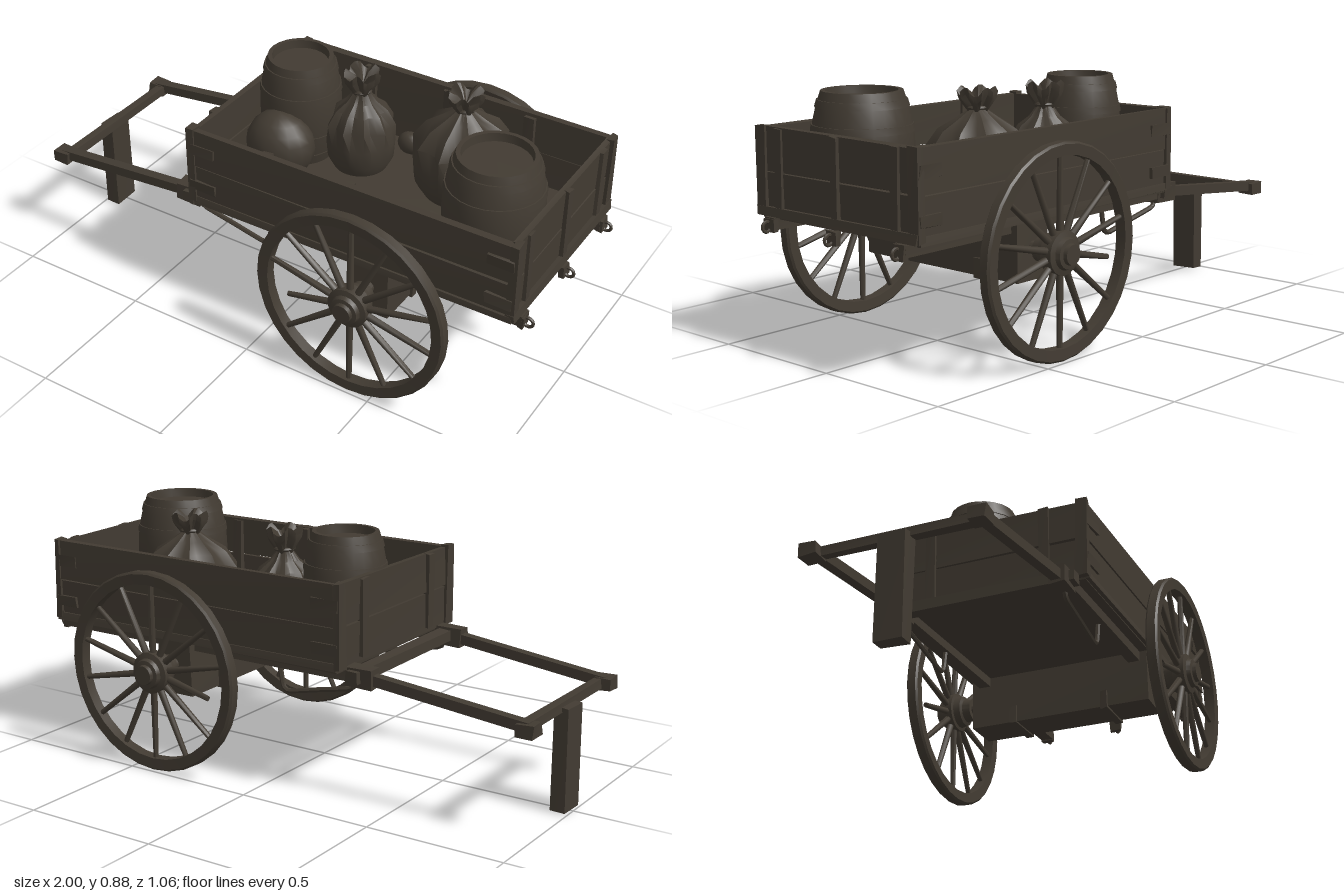
import * as THREE from 'three';
import { toCreasedNormals } from 'three/addons/utils/BufferGeometryUtils.js';

const wood = new THREE.MeshStandardMaterial({ color: 0x423b32 });
wood.name = 'dark weathered wood';

const V = (x, y, z) => new THREE.Vector3(x, y, z);

function add(parent, name, geo, crease = 0.6) {
  const mesh = new THREE.Mesh(toCreasedNormals(geo, crease), wood);
  mesh.name = name;
  parent.add(mesh);
  return mesh;
}

// Small repeatable offset that depends only on the corner position
function wobble(x, y, z, k) {
  const s = Math.sin(x * 91.7 + y * 47.3 + z * 73.1 + k * 12.9) * 4375.5;
  return (s - Math.floor(s) - 0.5) * 0.007;
}

// Rough-hewn box given by its limits
function block(parent, name, x0, x1, y0, y1, z0, z1) {
  const geo = new THREE.BoxGeometry(x1 - x0, y1 - y0, z1 - z0);
  geo.translate((x0 + x1) / 2, (y0 + y1) / 2, (z0 + z1) / 2);
  const p = geo.attributes.position;
  for (let i = 0; i < p.count; i++) {
    const [x, y, z] = [p.getX(i), p.getY(i), p.getZ(i)];
    p.setXYZ(i, x + wobble(x, y, z, 1), y + wobble(x, y, z, 2), z + wobble(x, y, z, 3));
  }
  return add(parent, name, geo);
}

// Square beam between two points
function beam(parent, name, a, b, height, depth) {
  const mesh = add(parent, name, new THREE.BoxGeometry(depth, height, a.distanceTo(b)));
  mesh.position.copy(a).add(b).multiplyScalar(0.5);
  mesh.lookAt(b);
  return mesh;
}

function lathe(points, sides) {
  return new THREE.LatheGeometry(points.map(([r, y]) => new THREE.Vector2(r, y)), sides);
}

function makeWheel(side) {
  const wheel = new THREE.Group();
  wheel.name = side > 0 ? 'frontWheel' : 'backWheel';
  const rim = lathe([[0.318, -0.02], [0.355, -0.022], [0.362, -0.015], [0.362, 0.015],
    [0.355, 0.022], [0.318, 0.02], [0.318, -0.02]], 32);
  add(wheel, 'rim', rim.rotateX(Math.PI / 2));
  const hub = lathe([[0, -0.125], [0.022, -0.125], [0.022, -0.085], [0.042, -0.085], [0.045, -0.055],
    [0.058, -0.05], [0.062, -0.025], [0.074, -0.022], [0.074, 0.022], [0.055, 0.027],
    [0.05, 0.042], [0.036, 0.044], [0.034, 0.058], [0, 0.058]], 18);
  add(wheel, 'hub', hub.rotateX(side * Math.PI / 2));
  // Fourteen spokes, one of them snapped short
  for (let i = 0; i < 14; i++) {
    const end = i === 7 ? 0.25 : 0.325, start = 0.05;
    const spoke = new THREE.CylinderGeometry(0.0095, 0.013, end - start, 7);
    spoke.translate(0, (start + end) / 2, 0);
    spoke.rotateZ((i + 0.5) * Math.PI / 7 - Math.PI / 2);
    add(wheel, i === 7 ? 'brokenSpoke' : 'spoke', spoke, 1);
  }
  wheel.position.set(0.41, 0.363, side * 0.472);
  return wheel;
}

function makeBarrel(x, z, rTop, rMid, height) {
  const barrel = new THREE.Group();
  barrel.name = 'barrel';
  const h = height, d = rMid - rTop;
  const radius = t => rMid - d * (2 * t - 1) ** 2;
  const profile = [[0, 0]];
  for (let i = 0; i <= 8; i++) profile.push([radius(i / 8), h * i / 8]);
  profile.push([rTop - 0.015, h], [rTop - 0.018, h - 0.03], [0, h - 0.03]);
  add(barrel, 'staves', lathe(profile, 24));
  for (const t of [0.1, 0.3, 0.7, 0.9]) {
    const r0 = radius(t - 0.03) + 0.004, r1 = radius(t + 0.03) + 0.004;
    const y0 = h * (t - 0.03), y1 = h * (t + 0.03);
    add(barrel, 'hoop', lathe([[r0 - 0.006, y0], [r0, y0], [r1, y1], [r1 - 0.006, y1]], 24));
  }
  barrel.position.set(x, 0.47, z);
  return barrel;
}

// Bulging sack; folds gather towards the tied neck and the ruffle spreads above it
function makeSack(x, z, r, bodyTop, top, phase) {
  const b = bodyTop, c = top - bodyTop;
  const profile = [[0, 0], [r * 0.75, 0], [r * 0.96, b * 0.18], [r, b * 0.42], [r * 0.93, b * 0.66],
    [r * 0.7, b * 0.85], [r * 0.4, b * 0.96], [0.028, b + c * 0.2], [0.03, b + c * 0.35],
    [0.058, b + c * 0.75], [0.062, top], [0.03, b + c * 0.8], [0, b + c * 0.5]];
  const geo = lathe(profile, 30);
  const p = geo.attributes.position;
  for (let i = 0; i < p.count; i++) {
    const [px, py, pz] = [p.getX(i), p.getY(i), p.getZ(i)];
    const a = Math.atan2(px, pz) + phase, t = py / b;
    const fold = 1 + 0.03 * Math.sin(3 * a) * Math.min(t, 1) + (t > 0.6 ? 0.1 * Math.cos(10 * a) : 0);
    const lift = t > 1.08 ? 0.016 * Math.sin(5 * a) - 0.012 : 0;
    p.setXYZ(i, px * fold, py + lift, pz * fold);
  }
  const sack = new THREE.Group();
  sack.name = 'tiedSack';
  add(sack, 'cloth', geo, 0.7);
  const tie = new THREE.TorusGeometry(0.032, 0.007, 6, 14).rotateX(Math.PI / 2);
  add(sack, 'tie', tie.translate(0, b + c * 0.27, 0));
  sack.position.set(x, 0.47, z);
  return sack;
}

function makeBox() {
  const box = new THREE.Group();
  box.name = 'cargoBox';
  block(box, 'floor', -0.295, 0.94, 0.452, 0.478, -0.365, 0.365);
  const rows = [[0.462, 0.605], [0.609, 0.752]];
  for (const s of [-1, 1]) {
    const z = (a, b) => [Math.min(s * a, s * b), Math.max(s * a, s * b)];
    rows.forEach(([y0, y1], i) =>
      block(box, 'sidePlank', -0.3 - i * 0.008, 0.942, y0, y1, ...z(0.345, 0.37 + i * 0.003)));
    block(box, 'sideSill', -0.295, 0.945, 0.455, 0.482, ...z(0.36, 0.378));
    for (const x of [0.0, 0.32, 0.64])
      block(box, 'innerBatten', x - 0.02, x + 0.02, 0.475, 0.745, ...z(0.33, 0.348));
    // Corner posts and straps
    block(box, 'tailPost', 0.925, 0.952, 0.462, 0.757, ...z(0.335, 0.378));
    block(box, 'headPost', -0.312, -0.285, 0.462, 0.757, ...z(0.335, 0.378));
    for (const y of [0.53, 0.68]) {
      block(box, 'cornerStrap', 0.85, 0.945, y - 0.02, y + 0.02, ...z(0.37, 0.381));
      block(box, 'cornerStrap', -0.305, -0.2, y - 0.02, y + 0.02, ...z(0.37, 0.381));
    }
    block(box, 'tailBatten', 0.93, 0.951, 0.48, 0.75, ...z(0.255, 0.29));
    block(box, 'headBatten', -0.314, -0.29, 0.48, 0.75, ...z(0.2, 0.235));
  }
  for (const [y0, y1] of rows) {
    block(box, 'tailPlank', 0.918, 0.939, y0, y1, -0.35, 0.35);
    block(box, 'headPlank', -0.302, -0.28, y0, y1, -0.35, 0.35);
  }
  block(box, 'tailBatten', 0.93, 0.951, 0.48, 0.752, -0.015, 0.015);
  block(box, 'tailSill', 0.925, 0.956, 0.458, 0.49, -0.375, 0.375);
  return box;
}

function makeFrame() {
  const frame = new THREE.Group();
  frame.name = 'frame';
  for (const s of [-1, 1]) {
    block(frame, 'sideRail', -0.31, 0.96, 0.415, 0.457, s * 0.305 - 0.022, s * 0.305 + 0.022);
    beam(frame, 'pullShaft', V(-0.97, 0.372, s * 0.288), V(-0.32, 0.44, s * 0.303), 0.036, 0.036);
    block(frame, 'shaftSocket', -0.405, -0.305, 0.402, 0.468, s * 0.303 - 0.028, s * 0.303 + 0.028);
    block(frame, 'shaftTip', -0.998, -0.935, 0.345, 0.388, s * 0.292 - 0.03, s * 0.292 + 0.03);
    // Bent iron stay below the rail
    const stay = new THREE.CatmullRomCurve3([V(-0.325, 0.42, s * 0.3), V(-0.31, 0.385, s * 0.3),
      V(-0.18, 0.357, s * 0.3), V(-0.055, 0.33, s * 0.3), V(-0.03, 0.345, s * 0.3), V(-0.015, 0.425, s * 0.3)],
      false, 'catmullrom', 0.2);
    add(frame, 'ironStay', new THREE.TubeGeometry(stay, 24, 0.009, 6), 1);
    block(frame, 'axleBracket', 0.325, 0.495, 0.245, 0.315, s * 0.183 - 0.014, s * 0.183 + 0.014);
  }
  block(frame, 'shaftCrossBeam', -0.362, -0.318, 0.42, 0.462, -0.35, 0.35);
  block(frame, 'handleBar', -0.965, -0.932, 0.352, 0.384, -0.3, 0.3);
  block(frame, 'propLeg', -0.99, -0.935, 0.002, 0.368, -0.046, 0.054);
  block(frame, 'axleBeam', 0.335, 0.485, 0.255, 0.45, -0.355, 0.355);
  const axle = new THREE.CylinderGeometry(0.021, 0.021, 0.84, 12).rotateX(Math.PI / 2);
  add(frame, 'axle', axle.translate(0.41, 0.363, 0));
  // Tail hooks
  for (const z of [-0.305, 0, 0.305]) {
    block(frame, 'hookPlate', 0.945, 0.967, 0.41, 0.455, z - 0.022, z + 0.022);
    const hook = new THREE.TorusGeometry(0.017, 0.006, 6, 12, 4.6).rotateZ(-2.6);
    add(frame, 'hook', hook.translate(0.976, 0.428, z), 1);
  }
  return frame;
}

export function createModel() {
  const cart = new THREE.Group();
  cart.name = 'handCart';
  cart.add(makeFrame(), makeBox(), makeWheel(1), makeWheel(-1));

  // Cargo
  cart.add(makeBarrel(0.73, 0.102, 0.135, 0.172, 0.404));
  cart.add(makeBarrel(-0.148, -0.09, 0.117, 0.148, 0.4));
  cart.add(makeSack(0.47, -0.17, 0.172, 0.32, 0.41, 0));
  cart.add(makeSack(0.085, -0.125, 0.125, 0.285, 0.395, 1.3));
  const lumps = [['slumpedSack', -0.135, 0.585, 0.065, 0.13, 0.13, 0.11],
    ['smallBundle', -0.19, 0.51, 0.215, 0.06, 0.045, 0.04],
    ['smallBundle', -0.235, 0.505, 0.29, 0.04, 0.035, 0.035],
    ['smallBundle', 0.2, 0.51, -0.285, 0.05, 0.045, 0.035]];
  for (const [name, x, y, z, rx, ry, rz] of lumps) {
    const lump = new THREE.SphereGeometry(1, 16, 10).scale(rx, ry, rz);
    add(cart, name, lump, 1).position.set(x, y, z);
  }
  return cart;
}
